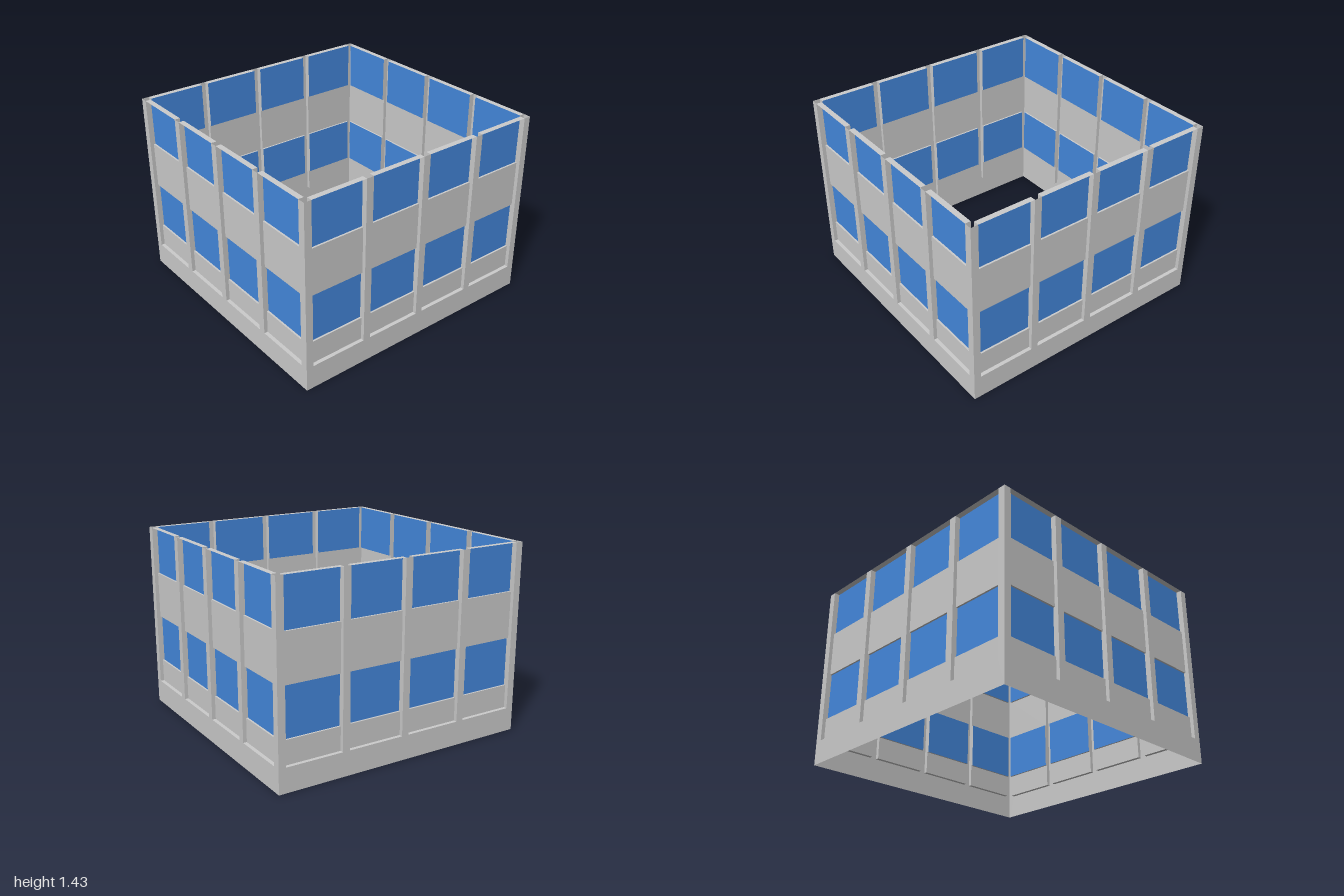
import * as THREE from 'three';

const H = 1.43, SILL = 0.18, BAY = 0.43;
const GREY_DEPTH = 0.028, BLUE_DEPTH = 0.042;
const BAY_CENTRES = [-0.729, -0.243, 0.243, 0.729];
const BANDS = [
  { y0: SILL, y1: 0.355, glass: false },
  { y0: 0.355, y1: 0.72, glass: true },
  { y0: 0.72, y1: 1.07, glass: false },
  { y0: 1.07, y1: H, glass: true },
];

const grey = new THREE.MeshStandardMaterial({ color: 0xcccccc, side: THREE.DoubleSide });
const blue = new THREE.MeshStandardMaterial({ color: 0x4488dd, side: THREE.DoubleSide });

function plane(parent, name, w, h, pos, rot, mat = grey) {
  const mesh = new THREE.Mesh(new THREE.PlaneGeometry(w, h), mat);
  mesh.name = name;
  mesh.position.set(...pos);
  mesh.rotation.set(...rot);
  parent.add(mesh);
}

// Horizontal strip between two recess depths, facing up or down
function ledge(parent, name, x, y, d0, d1, up) {
  plane(parent, name, BAY, d1 - d0, [x, y, 1 - (d0 + d1) / 2], [up ? -Math.PI / 2 : Math.PI / 2, 0, 0]);
}

// Outer skin: base strip with posts rising between the bays
function frameSkin() {
  const s = new THREE.Shape();
  s.moveTo(-1, 0);
  s.lineTo(1, 0);
  s.lineTo(1, H);
  for (const c of [...BAY_CENTRES].reverse()) {
    s.lineTo(c + BAY / 2, H);
    s.lineTo(c + BAY / 2, SILL);
    s.lineTo(c - BAY / 2, SILL);
    s.lineTo(c - BAY / 2, H);
  }
  s.lineTo(-1, H);
  const mesh = new THREE.Mesh(new THREE.ShapeGeometry(s), grey);
  mesh.name = 'baseAndPosts';
  mesh.position.z = 1;
  return mesh;
}

// One recessed bay with alternating solid and glass bands
function makeBay(x) {
  const bay = new THREE.Group();
  bay.name = 'windowBay';
  ledge(bay, 'sill', x, SILL, 0, GREY_DEPTH, true);
  BANDS.forEach(({ y0, y1, glass }, i) => {
    const d = glass ? BLUE_DEPTH : GREY_DEPTH, h = y1 - y0, y = (y0 + y1) / 2;
    plane(bay, glass ? 'windowPane' : 'spandrelPanel', BAY, h, [x, y, 1 - d], [0, 0, 0], glass ? blue : grey);
    for (const s of [-1, 1]) {
      plane(bay, 'jamb', d, h, [x + s * BAY / 2, y, 1 - d / 2], [0, -s * Math.PI / 2, 0]);
    }
    if (i > 0) ledge(bay, 'bandStep', x, y0, GREY_DEPTH, BLUE_DEPTH, glass);
  });
  ledge(bay, 'lintel', x, H, 0, BLUE_DEPTH, false);
  return bay;
}

export function createModel() {
  const model = new THREE.Group();
  model.name = 'buildingStorey';
  ['frontWall', 'leftWall', 'backWall', 'rightWall'].forEach((name, i) => {
    const wall = new THREE.Group();
    wall.name = name;
    wall.add(frameSkin(), ...BAY_CENTRES.map(makeBay));
    wall.rotation.y = i * Math.PI / 2;
    model.add(wall);
  });
  return model;
}
